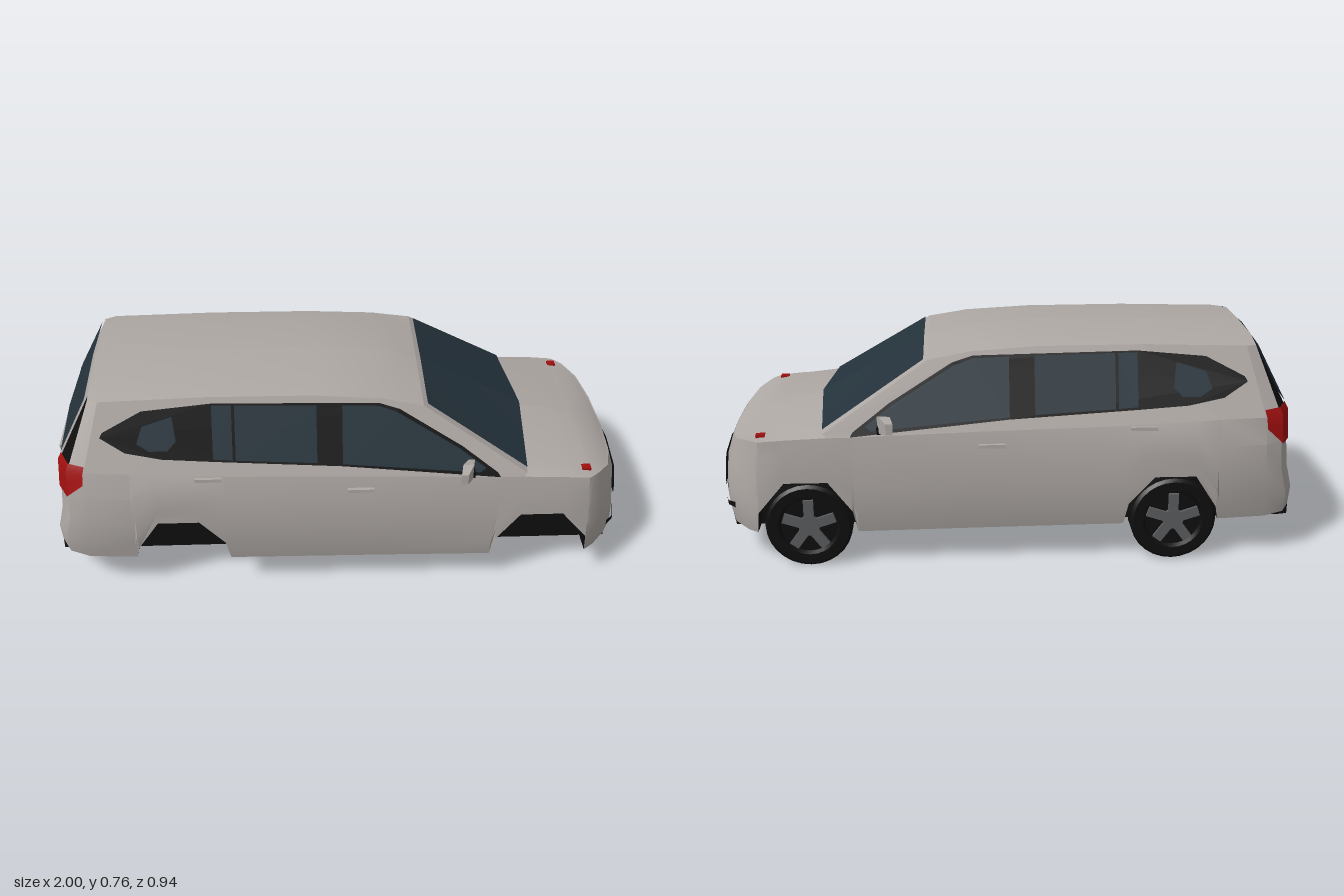
import * as THREE from 'three';
import { toCreasedNormals } from 'three/addons/utils/BufferGeometryUtils.js';

const mat = (name, color) => {
  const m = new THREE.MeshStandardMaterial({ color, side: THREE.DoubleSide });
  m.name = name;
  return m;
};
const paint = mat('silver paint', 0xaea8a4);
const black = mat('black trim', 0x0e0e0e);
const glass = mat('tinted glass', 0x24323b);
const red = mat('red lamp', 0xa00f0f);
const alloy = mat('wheel alloy', 0x5a5c5e);

// Piecewise linear lookup
const interp = (v, t) => {
  if (v <= t[0][0]) return t[0][1];
  for (let i = 1; i < t.length; i++) {
    const [a, p] = t[i - 1], [b, q] = t[i];
    if (v <= b) return p + (q - p) * (v - a) / (b - a);
  }
  return t[t.length - 1][1];
};
const lerp3 = (a, b, t) => a.map((v, i) => v + (b[i] - v) * t);
const shift = (p, d) => p.map((v, i) => v + d[i]);

// Surface through rows of points
function grid(name, rows, material) {
  const pos = rows.flat(2), idx = [], n = rows[0].length;
  for (let r = 0; r < rows.length - 1; r++) {
    for (let c = 0; c < n - 1; c++) {
      const a = r * n + c, b = a + n;
      idx.push(a, b, a + 1, a + 1, b, b + 1);
    }
  }
  const g = new THREE.BufferGeometry();
  g.setAttribute('position', new THREE.Float32BufferAttribute(pos, 3));
  g.setIndex(idx);
  const mesh = new THREE.Mesh(toCreasedNormals(g, 0.45), material);
  mesh.name = name;
  return mesh;
}

function box(name, size, at, material) {
  const m = new THREE.Mesh(new THREE.BoxGeometry(...size), material);
  m.name = name;
  m.position.set(...at);
  return m;
}

// Leaning plane of the upper sides, and flat panels cut on it
const zSide = y => 0.37 - (y - 0.5) * 0.374;
function sidePanel(name, pts, out, material) {
  const g = new THREE.ShapeGeometry(new THREE.Shape(pts.map(p => new THREE.Vector2(...p))));
  const p = g.attributes.position;
  for (let i = 0; i < p.count; i++) p.setZ(i, zSide(p.getY(i)) + out);
  g.computeVertexNormals();
  const m = new THREE.Mesh(g, material);
  m.name = name;
  return m;
}

// Plan outline from nose to tail: x, z, lower edge (with wheel arches), belt height
const columns = [
  [0.995, 0, 0.13, 0.395], [0.985, 0.17, 0.13, 0.408], [0.955, 0.29, 0.125, 0.43],
  [0.9, 0.355, 0.12, 0.447], [0.86, 0.385, 0.12, 0.45], [0.845, 0.392, 0.2, 0.45],
  [0.755, 0.395, 0.307, 0.456], [0.61, 0.395, 0.307, 0.462], [0.53, 0.395, 0.2, 0.462],
  [0.515, 0.395, 0.12, 0.463], [0.1, 0.395, 0.125, 0.475], [-0.39, 0.395, 0.13, 0.485],
  [-0.405, 0.395, 0.21, 0.487], [-0.49, 0.395, 0.307, 0.49], [-0.63, 0.395, 0.307, 0.495],
  [-0.705, 0.395, 0.19, 0.5], [-0.715, 0.393, 0.14, 0.5], [-0.88, 0.388, 0.145, 0.505],
  [-0.95, 0.36, 0.15, 0.51], [-0.985, 0.29, 0.15, 0.51], [-0.995, 0, 0.15, 0.51],
];
const frontInset = [[0.12, 0.015], [0.2, 0], [0.33, 0.01], [0.4, 0.035]];
const rearInset = [[0.15, 0], [0.22, -0.004], [0.25, 0.015], [0.5, 0.035]];
function bodyPoint([x, z, , belt], y) {
  const side = interp(belt - y, [[0, 0.975], [0.1, 1], [0.25, 1], [0.38, 0.93]]);
  const w = THREE.MathUtils.clamp((Math.abs(x) - 0.8) / 0.15, 0, 1);
  const inset = w * interp(y, x > 0 ? frontInset : rearInset);
  return [x - Math.sign(x) * inset, y, Math.min(z * side, zSide(y))];
}
const beltPoint = c => bodyPoint(c, c[3]);

// Thin patch that follows the nose; each row is z, low y, high y
function nosePatch(name, rows, material) {
  const at = (z, y) => {
    const pts = columns.slice(0, 5).map(c => bodyPoint(c, y));
    return [interp(z, pts.map(p => [p[2], p[0]])) + 0.007, y, z];
  };
  return grid(name, rows.map(([z, lo, hi]) => [0, 0.33, 0.67, 1].map(t => at(z, lo + (hi - lo) * t))), material);
}

function halfCar() {
  const half = new THREE.Group();

  // Lower shell and underside with wheel wells
  half.add(grid('lowerBody', columns.map(c =>
    [0, 0.2, 0.45, 0.75, 1].map(f => bodyPoint(c, c[2] + (c[3] - c[2]) * f))), paint));
  half.add(grid('underside', columns.map(c => {
    const p = bodyPoint(c, c[2]), zi = Math.min(p[2], 0.28);
    return [p, [p[0], p[1], zi], [p[0], 0.112, zi], [p[0], 0.112, 0]];
  }), black));

  // Hood
  const hoodY = x => interp(x, [[0.61, 0.503], [0.755, 0.48], [0.85, 0.455], [0.92, 0.425], [0.96, 0.395]]);
  half.add(grid('hood', columns.slice(0, 8).map(c => {
    const e = beltPoint(c), mid = Math.max(hoodY(e[0]), e[1] - 0.012);
    return [e, [e[0], e[1] + (mid - e[1]) * 0.6, e[2] * 0.86], [e[0], mid, 0]];
  }), paint));

  // Upper side with window band and panes
  const roofEdge = [[0.27, 0.7], [0.13, 0.725], [-0.1, 0.739], [-0.45, 0.741], [-0.8, 0.732]];
  const belt = columns.slice(7, 18).map(c => beltPoint(c).slice(0, 2)).reverse();
  half.add(sidePanel('upperSide', [[0.62, 0.475], ...roofEdge, ...belt], 0, paint));
  half.add(sidePanel('windowBand', [[-0.8, 0.62], [-0.72, 0.57], [-0.6, 0.547], [-0.43, 0.536], [0, 0.512],
    [0.53, 0.464], [0.52, 0.48], [0.4, 0.568], [0.19, 0.692], [0.12, 0.713], [-0.43, 0.722], [-0.66, 0.702], [-0.79, 0.637]], 0.003, black));
  const panes = [
    [[0, 0.52], [0.46, 0.483], [0.48, 0.497], [0.39, 0.563], [0.18, 0.685], [0.12, 0.705], [0, 0.709]],
    [[-0.355, 0.54], [-0.085, 0.526], [-0.085, 0.711], [-0.355, 0.716]],
    [[-0.43, 0.545], [-0.365, 0.541], [-0.365, 0.716], [-0.43, 0.717]],
    [[-0.68, 0.6], [-0.64, 0.575], [-0.58, 0.575], [-0.55, 0.605], [-0.56, 0.685], [-0.66, 0.655]],
  ];
  panes.forEach(p => half.add(sidePanel('sideWindow', p, 0.006, glass)));

  // Roof, ending in a short rear overhang
  half.add(grid('roof', [...roofEdge, [-0.835, 0.73]].map(([x, y], i) => {
    const rise = i === 0 ? 0.005 : 0.02, ze = i === 5 ? 0.268 : zSide(y);
    return [[x, y, ze], [x, y + rise * 0.8, 0.19], [x, y + rise, 0]];
  }), paint));

  // Windshield in its frame
  const base = [[0.65, 0.5, 0], [0.62, 0.475, zSide(0.475)]];
  const top = [[0.27, 0.705, 0], [0.27, 0.7, zSide(0.7)]];
  half.add(grid('windshieldFrame', [base, top], paint));
  const pane = t => [0, 0.95].map(s =>
    shift(lerp3(lerp3(base[0], base[1], s), lerp3(top[0], top[1], s), t), [0.004, 0.006, 0]));
  half.add(grid('windshield', [pane(0.01), pane(0.97)], glass));

  // Tailgate, black rear pillar and rear window
  const low = columns.slice(17).map(beltPoint);
  const high = [[-0.8, 0.732, zSide(0.732)], [-0.835, 0.73, 0.268], [-0.835, 0.735, 0.25], [-0.835, 0.75, 0]];
  const strip = (name, a, b, m) => half.add(grid(name, [low.slice(a, b + 1), high.slice(a, b + 1)], m));
  strip('rearCorner', 0, 1, paint);
  strip('rearPillar', 1, 2, black);
  strip('tailgate', 2, 3, paint);
  const rearPane = t => [2, 3].map(i => shift(lerp3(low[i], high[i], t), [-0.006, 0.003, 0]));
  half.add(grid('rearWindow', [rearPane(0.1), rearPane(0.95)], glass));

  // Tail lamp wrapped round the corner
  const lampPush = [[-0.002, 0, 0.006], [-0.005, 0, 0.005], [-0.006, 0, 0.002]];
  half.add(grid('tailLamp', [0, 1, 2].map(i => {
    const c = columns[17 + i], y0 = [0.47, 0.41, 0.405][i];
    const pts = [bodyPoint(c, y0), bodyPoint(c, (y0 + c[3]) / 2), low[i], lerp3(low[i], high[i], 0.11)];
    return pts.map(p => shift(p, lampPush[i]));
  }), red));

  // Nose details
  half.add(nosePatch('grille', [[0, 0.217, 0.342], [0.17, 0.217, 0.338], [0.185, 0.218, 0.337],
    [0.22, 0.265, 0.334], [0.253, 0.308, 0.32]], black));
  half.add(nosePatch('fogSlot', [[0.205, 0.192, 0.194], [0.29, 0.192, 0.208], [0.325, 0.195, 0.215]], black));
  half.add(box('indicator', [0.03, 0.012, 0.026], [0.83, 0.456, 0.333], red));

  // Door handles and mirror
  half.add(box('doorHandle', [0.09, 0.012, 0.014], [-0.45, 0.477, 0.38], paint));
  half.add(box('doorHandle', [0.09, 0.012, 0.014], [0.06, 0.428, 0.392], paint));
  const g = new THREE.BoxGeometry(0.036, 0.058, 0.096, 1, 1, 2), p = g.attributes.position;
  for (let i = 0; i < p.count; i++) {
    const z = p.getZ(i), k = z > 0.01 ? 0.65 : z < -0.01 ? 0.6 : 1;
    p.setXYZ(i, p.getX(i) * k - z * 0.35, p.getY(i) * k + z * 0.05, z);
  }
  const mirror = new THREE.Mesh(toCreasedNormals(g, 0.3), paint);
  mirror.name = 'mirror';
  mirror.position.set(0.412, 0.517, 0.422);
  half.add(mirror, box('mirrorStalk', [0.03, 0.022, 0.05], [0.425, 0.492, 0.385], black));
  return half;
}

function wheel(x) {
  const w = new THREE.Group();
  w.name = 'wheel';
  const profile = [[0, 0.045], [0.135, 0.045], [0.147, 0.034], [0.147, -0.034], [0.137, -0.045],
    [0.104, -0.045], [0.096, -0.03], [0, -0.03]].map(q => new THREE.Vector2(...q));
  const tyre = new THREE.Mesh(toCreasedNormals(new THREE.LatheGeometry(profile, 28), 0.4), black);
  tyre.name = 'tyre';
  tyre.rotation.x = Math.PI / 2;
  w.add(tyre);
  // Five-spoke rim facing outward
  for (let i = 0; i < 5; i++) {
    const arm = new THREE.Group();
    arm.rotation.z = i * Math.PI * 2 / 5;
    arm.add(box('spoke', [0.034, 0.075, 0.012], [0, 0.054, -0.035], alloy));
    w.add(arm);
  }
  const hub = new THREE.Mesh(new THREE.CylinderGeometry(0.036, 0.036, 0.016, 10), alloy);
  hub.name = 'hub';
  hub.rotation.x = Math.PI / 2;
  hub.position.z = -0.035;
  w.add(hub);
  w.position.set(x, 0.147, -0.343);
  return w;
}

export function createModel() {
  const car = new THREE.Group();
  car.name = 'car';
  const left = halfCar(), right = halfCar();
  left.name = 'positiveZHalf';
  right.name = 'negativeZHalf';
  right.scale.z = -1;
  car.add(left, right);
  // Wheels are fitted on one side only
  car.add(wheel(-0.56), wheel(0.68));
  // Blank plates
  car.add(box('frontPlate', [0.012, 0.058, 0.175], [0.994, 0.199, 0], glass));
  car.add(box('rearPlateRecess', [0.012, 0.022, 0.16], [-0.969, 0.44, 0], glass));
  car.add(box('rearTrim', [0.014, 0.014, 0.3], [-0.969, 0.462, 0], paint));
  return car;
}
